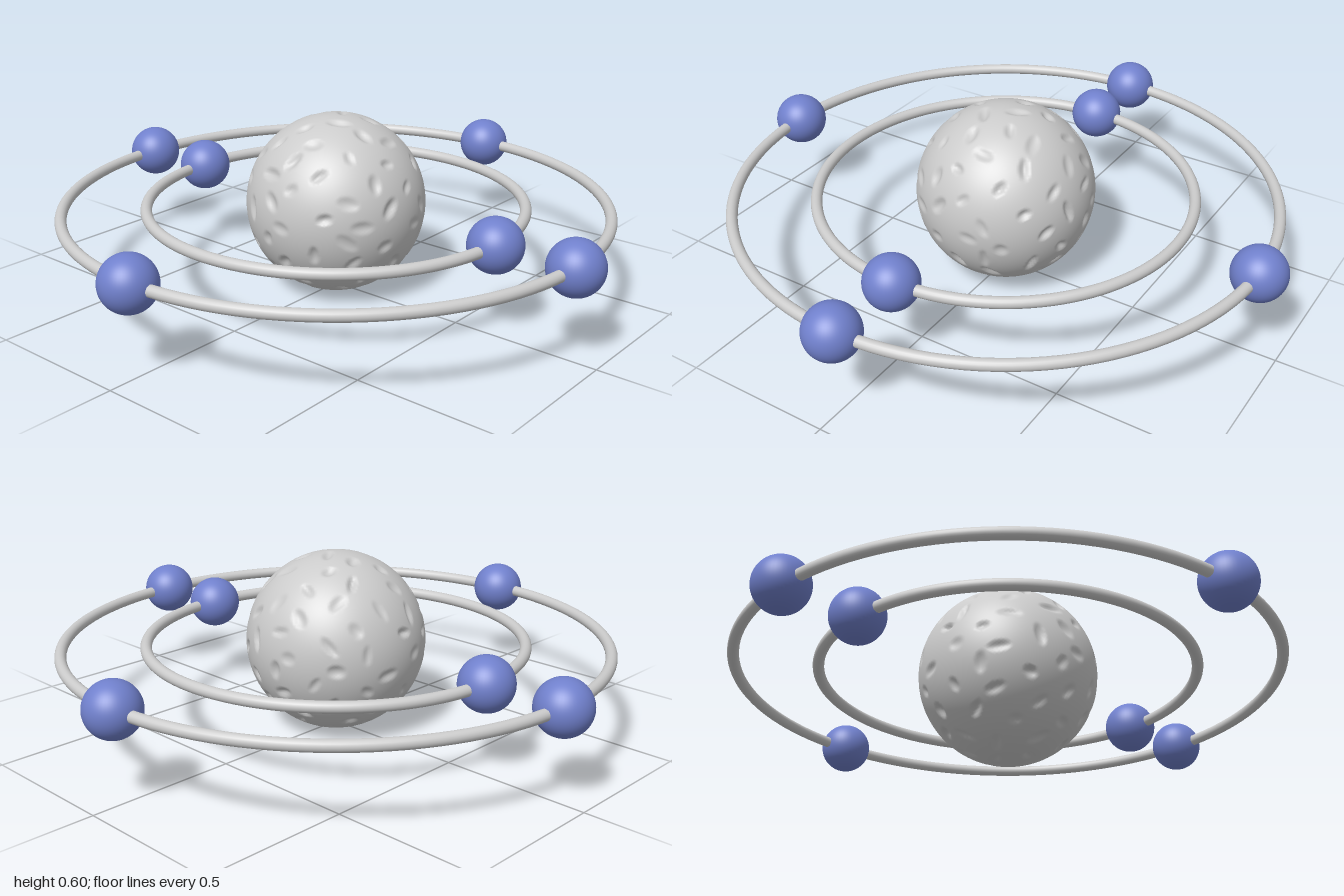
import * as THREE from 'three';
import { mergeVertices } from 'three/addons/utils/BufferGeometryUtils.js';

const CENTER_Y = 0.303;
const CORE_R = 0.302;

function seeded(seed) {
  return () => {
    seed = (seed * 16807) % 2147483647;
    return seed / 2147483647;
  };
}

// Smooth ball scattered with small, elongated shallow pits
function pittedSphere(radius, pitCount) {
  let geo = new THREE.IcosahedronGeometry(1, 44);
  geo.deleteAttribute('uv');
  geo.deleteAttribute('normal');
  geo = mergeVertices(geo, 1e-5);

  const rand = seeded(4711);
  const pits = [];
  for (let i = 0; i < pitCount; i++) {
    // evenly spread directions with some jitter
    const y = 1 - (2 * (i + 0.5)) / pitCount;
    const a = i * 2.39996 + (rand() - 0.5) * 0.25;
    const s = Math.sqrt(1 - y * y);
    const dir = new THREE.Vector3(s * Math.cos(a), y, s * Math.sin(a));
    const along = new THREE.Vector3(rand() - 0.5, rand() - 0.5, rand() - 0.5).cross(dir).normalize();
    const across = new THREE.Vector3().crossVectors(dir, along);
    pits.push({ dir, along, across, len: 0.08 + rand() * 0.07, wid: 0.045 + rand() * 0.03, depth: 0.02 + rand() * 0.025 });
  }

  const pos = geo.attributes.position;
  const v = new THREE.Vector3();
  for (let i = 0; i < pos.count; i++) {
    v.fromBufferAttribute(pos, i).normalize();
    let r = 1;
    for (const p of pits) {
      if (v.dot(p.dir) < 0.97) continue;
      const d = Math.hypot(v.dot(p.along) / p.len, v.dot(p.across) / p.wid);
      if (d < 1) r -= p.depth * (1 - d * d);
    }
    v.multiplyScalar(radius * r);
    pos.setXYZ(i, v.x, v.y, v.z);
  }
  geo.computeVertexNormals();
  return geo;
}

export function createModel() {
  const model = new THREE.Group();
  model.name = 'atomModel';
  const grey = new THREE.MeshStandardMaterial({ color: 0xcccccc });
  const blue = new THREE.MeshStandardMaterial({ color: 0x7080cc });

  const add = (name, geometry, material, x = 0, z = 0) => {
    const mesh = new THREE.Mesh(geometry, material);
    mesh.name = name;
    mesh.position.set(x, CENTER_Y, z);
    model.add(mesh);
    return mesh;
  };

  // Central body
  add('nucleus', pittedSphere(CORE_R, 100), grey);

  // Flat orbit rings, each carrying evenly spaced balls
  const ballGeometry = new THREE.SphereGeometry(0.09, 48, 32);
  const orbits = [
    { name: 'inner', radius: 0.635, balls: 2 },
    { name: 'outer', radius: 0.91, balls: 4 },
  ];
  for (const { name, radius, balls } of orbits) {
    const ring = new THREE.TorusGeometry(radius, 0.019, 20, 128).rotateX(Math.PI / 2);
    add(`${name}OrbitRing`, ring, grey);
    for (let i = 0; i < balls; i++) {
      const a = (i / balls) * Math.PI * 2;
      add(`${name}Electron${i + 1}`, ballGeometry, blue, Math.sin(a) * radius, Math.cos(a) * radius);
    }
  }
  return model;
}
